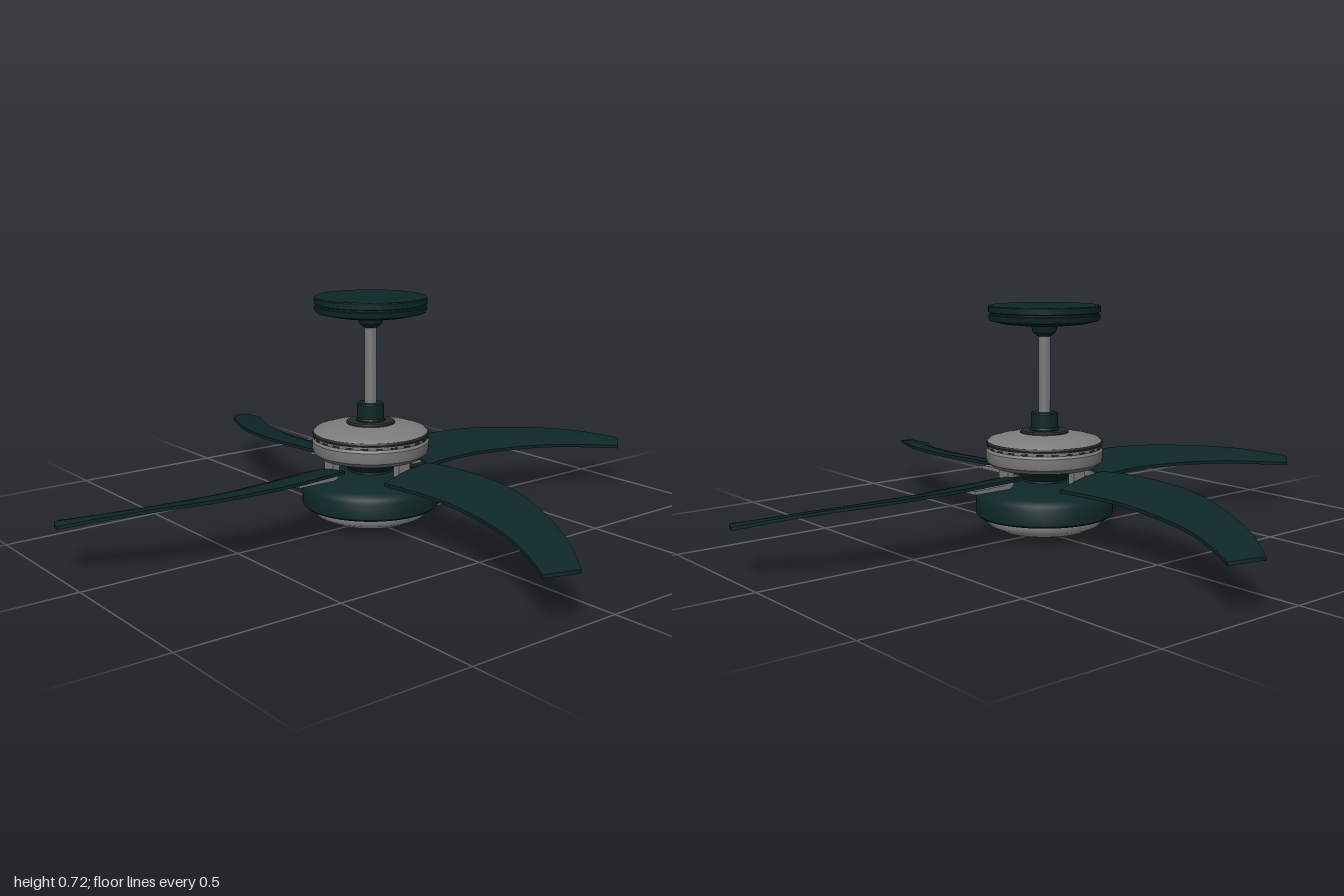
import * as THREE from 'three';
import { toCreasedNormals } from 'three/addons/utils/BufferGeometryUtils.js';

const V = (x, y, z) => new THREE.Vector3(x, y, z);

// Surface of revolution from [radius, height] pairs, listed bottom to top
function turned(name, points, material) {
  const profile = points.map(([r, y]) => new THREE.Vector2(r, y));
  const mesh = new THREE.Mesh(toCreasedNormals(new THREE.LatheGeometry(profile, 64), 0.6), material);
  mesh.name = name;
  return mesh;
}

// Swept, pitched blade along +x, lofted between its leading and trailing edges
function bladeGeometry() {
  const lead = new THREE.CatmullRomCurve3([
    V(0.17, 0.208, -0.09), V(0.28, 0.21, -0.108), V(0.4, 0.208, -0.114), V(0.52, 0.204, -0.1),
    V(0.64, 0.196, -0.066), V(0.77, 0.185, -0.008), V(0.89, 0.169, 0.056), V(0.998, 0.146, 0.132)]);
  const trail = new THREE.CatmullRomCurve3([
    V(0.17, 0.172, 0.084), V(0.28, 0.172, 0.07), V(0.4, 0.17, 0.062), V(0.51, 0.165, 0.068),
    V(0.62, 0.16, 0.085), V(0.73, 0.153, 0.112), V(0.84, 0.144, 0.158), V(0.942, 0.135, 0.212)]);
  const rows = 28, across = 6, ring = 2 * (across + 1);
  const pos = [], index = [];
  for (let i = 0; i <= rows; i++) {
    const a = lead.getPoint(i / rows), b = trail.getPoint(i / rows);
    for (let j = 0; j < ring; j++) {
      const top = j <= across;
      const t = (top ? j : ring - 1 - j) / across;
      const p = a.clone().lerp(b, t);
      const bulge = Math.sin(Math.PI * t);
      p.y += 0.006 * bulge + (top ? 0.005 : -0.005);
      p.x += 0.016 * bulge * Math.pow(i / rows, 8); // rounded tip
      pos.push(p.x, p.y, p.z);
    }
  }
  for (let i = 0; i < rows; i++) {
    for (let j = 0; j < ring; j++) {
      const k = (j + 1) % ring, p = i * ring, q = p + ring;
      index.push(p + j, p + k, q + k, p + j, q + k, q + j);
    }
  }
  const end = rows * ring;
  for (let j = 0; j < across; j++) { // end caps
    const m = ring - 1 - j;
    index.push(end + j, end + j + 1, end + m - 1, end + j, end + m - 1, end + m);
    index.push(j, m - 1, j + 1, j, m, m - 1);
  }
  const g = new THREE.BufferGeometry();
  g.setAttribute('position', new THREE.Float32BufferAttribute(pos, 3));
  g.setIndex(index);
  return toCreasedNormals(g, 0.7);
}

// Bent strap: drops from the motor, then turns outward beneath the blade
function bracketGeometry() {
  const s = new THREE.Shape();
  s.moveTo(0.14, 0.225);
  s.lineTo(0.14, 0.19);
  s.quadraticCurveTo(0.14, 0.165, 0.165, 0.165);
  s.lineTo(0.29, 0.165);
  s.lineTo(0.29, 0.176);
  s.lineTo(0.175, 0.18);
  s.quadraticCurveTo(0.165, 0.18, 0.165, 0.192);
  s.lineTo(0.165, 0.225);
  s.closePath();
  const g = new THREE.ExtrudeGeometry(s, { depth: 0.044, bevelEnabled: false, curveSegments: 8 });
  g.translate(0, 0, -0.022);
  return toCreasedNormals(g, 0.6);
}

export function createModel() {
  const green = new THREE.MeshStandardMaterial({ color: 0x0e2727 });
  green.name = 'dark green';
  const metal = new THREE.MeshStandardMaterial({ color: 0x7c7c7c });
  metal.name = 'grey metal';
  const frosted = new THREE.MeshStandardMaterial({ color: 0xa8a8a6 });
  frosted.name = 'frosted glass';
  const dark = new THREE.MeshStandardMaterial({ color: 0x2a2c2c });
  dark.name = 'dark trim';

  const fan = new THREE.Group();
  fan.name = 'ceilingFan';

  // Ceiling mount and down rod
  fan.add(turned('canopy', [[0, 0.655], [0.06, 0.656], [0.13, 0.663], [0.168, 0.672], [0.173, 0.68],
    [0.173, 0.69], [0.168, 0.692], [0.168, 0.697], [0.174, 0.699], [0.174, 0.716], [0.171, 0.719], [0, 0.719]], green));
  fan.add(turned('canopyBall', [[0, 0.622], [0.022, 0.624], [0.036, 0.636], [0.042, 0.66]], green));
  fan.add(turned('downRod', [[0.019, 0.32], [0.019, 0.64]], metal));
  fan.add(turned('rodCoupler', [[0.046, 0.325], [0.046, 0.335], [0.042, 0.34], [0.042, 0.383],
    [0.038, 0.387], [0, 0.387]], green));

  // Motor
  fan.add(turned('motorCap', [[0.076, 0.31], [0.076, 0.327], [0.072, 0.331], [0, 0.331]], dark));
  fan.add(turned('motorTop', [[0.18, 0.297], [0.172, 0.304], [0.14, 0.313], [0.1, 0.321], [0.06, 0.325]], metal));
  fan.add(turned('motorSeam', [[0.165, 0.285], [0.181, 0.286], [0.183, 0.292], [0.18, 0.298], [0.165, 0.299]], dark));
  fan.add(turned('motorBody', [[0, 0.214], [0.145, 0.214], [0.165, 0.22], [0.18, 0.233], [0.183, 0.245],
    [0.183, 0.268], [0.177, 0.276], [0.177, 0.288]], metal));

  // Small vents around the motor band
  const vents = new THREE.Group();
  vents.name = 'motorVents';
  for (let i = 0; i < 24; i++) {
    const vent = new THREE.Mesh(new THREE.BoxGeometry(0.022, 0.005, 0.006), dark);
    const a = (i / 24) * Math.PI * 2;
    vent.name = 'vent';
    vent.position.set(Math.sin(a) * 0.176, 0.279, Math.cos(a) * 0.176);
    vent.rotation.y = a;
    vents.add(vent);
  }
  fan.add(vents);

  // Neck, light housing and glass bowl
  fan.add(turned('neck', [[0.075, 0.155], [0.07, 0.178], [0.09, 0.198], [0.102, 0.216]], green));
  fan.add(turned('lightHousing', [[0.19, 0.07], [0.197, 0.064], [0.21, 0.064], [0.216, 0.07], [0.216, 0.118],
    [0.21, 0.13], [0.19, 0.142], [0.15, 0.156], [0.11, 0.166], [0.07, 0.172], [0, 0.172]], green));
  fan.add(turned('glassBowl', [[0, 0], [0.05, 0.002], [0.1, 0.009], [0.145, 0.021], [0.175, 0.036],
    [0.19, 0.051], [0.195, 0.07]], frosted));

  // Four blades with their brackets
  const blade = bladeGeometry(), bracket = bracketGeometry();
  for (let i = 0; i < 4; i++) {
    const arm = new THREE.Group();
    arm.name = 'bladeArm';
    const b = new THREE.Mesh(blade, green);
    b.name = 'blade';
    const k = new THREE.Mesh(bracket, metal);
    k.name = 'bladeBracket';
    arm.add(b, k);
    arm.rotation.y = (i * Math.PI) / 2;
    fan.add(arm);
  }
  return fan;
}
